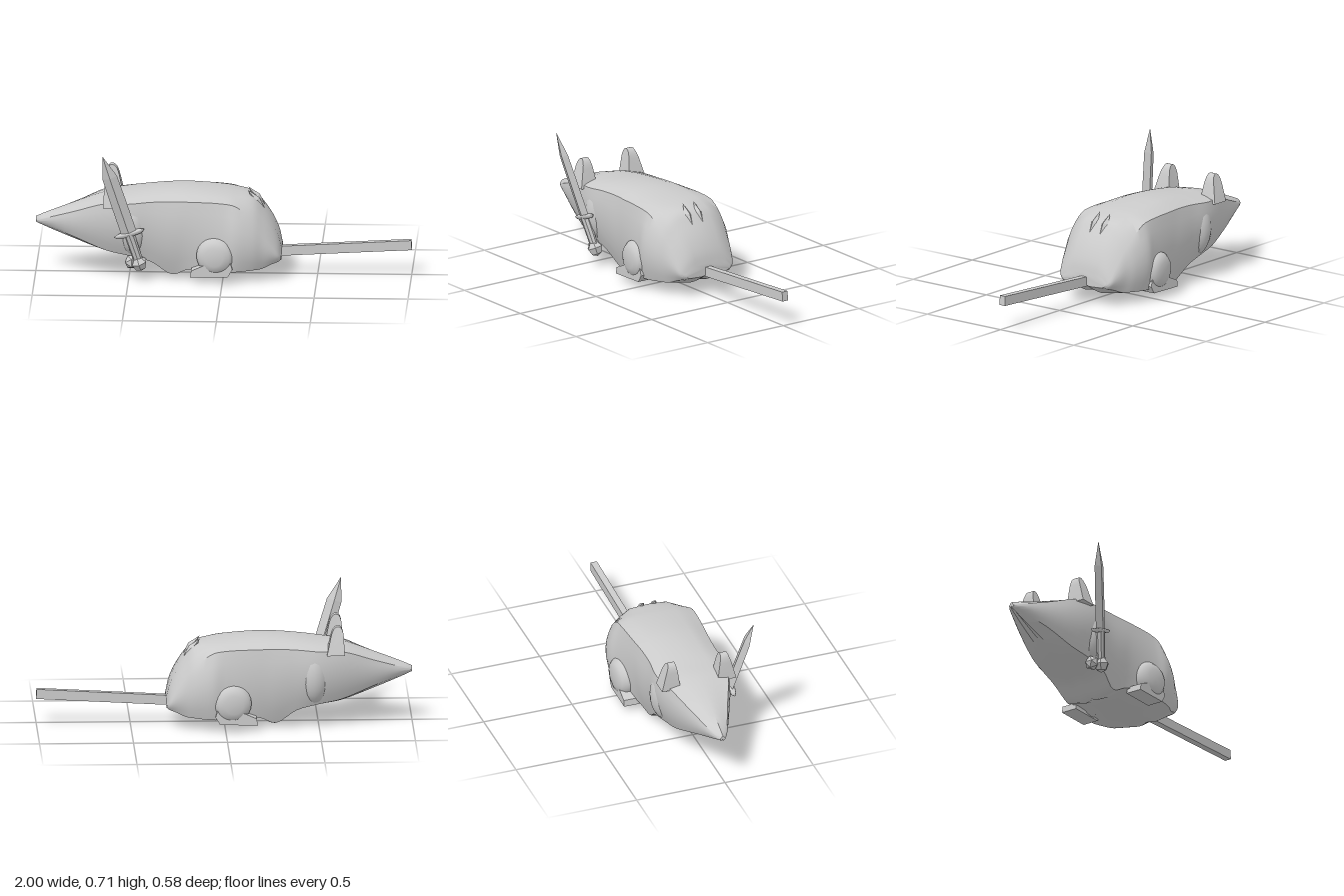
import * as THREE from 'three';
import { toCreasedNormals } from 'three/addons/utils/BufferGeometryUtils.js';

const CZ = -0.012; // mid plane of the animal
const material = new THREE.MeshStandardMaterial({ color: 0xcccccc, side: THREE.DoubleSide });
const flat = new THREE.MeshStandardMaterial({ color: 0xcccccc, flatShading: true, side: THREE.DoubleSide });

function add(parent, name, geometry, mat = material) {
  const mesh = new THREE.Mesh(geometry, mat);
  mesh.name = name;
  parent.add(mesh);
  return mesh;
}

// Skin closed rings (all the same length) and cap both ends
function loft(rings, crease) {
  const n = rings[0].length, index = [];
  const pos = rings.flat().flatMap((p) => [p.x, p.y, p.z]);
  for (let i = 0; i < rings.length - 1; i++) {
    for (let j = 0; j < n; j++) {
      const a = i * n + j, c = i * n + (j + 1) % n;
      index.push(a, c, a + n, a + n, c, c + n);
    }
  }
  const last = (rings.length - 1) * n;
  for (let j = 1; j < n - 1; j++) {
    index.push(0, j + 1, j, last, last + j, last + j + 1);
  }
  const g = new THREE.BufferGeometry();
  g.setAttribute('position', new THREE.Float32BufferAttribute(pos, 3));
  g.setIndex(index);
  return toCreasedNormals(g, crease);
}

// x, belly y, back y, shoulder-crease y, half widths: crease, flank, base
const SECTIONS = [
  [-1.0, 0.268, 0.298, 0.285, 0.01, 0.014, 0.01],
  [-0.96, 0.25, 0.316, 0.295, 0.035, 0.038, 0.025],
  [-0.8, 0.187, 0.378, 0.35, 0.1, 0.108, 0.085],
  [-0.62, 0.122, 0.44, 0.415, 0.17, 0.177, 0.13],
  [-0.5, 0.1, 0.452, 0.42, 0.195, 0.2, 0.15],
  [-0.38, 0.07, 0.468, 0.43, 0.188, 0.2, 0.16],
  [-0.27, 0.0, 0.477, 0.435, 0.19, 0.205, 0.15],
  [-0.18, 0.036, 0.478, 0.435, 0.197, 0.212, 0.18],
  [0.0, 0.036, 0.463, 0.43, 0.208, 0.24, 0.225],
  [0.07, 0.036, 0.452, 0.415, 0.208, 0.258, 0.23],
  [0.16, 0.042, 0.43, 0.345, 0.202, 0.24, 0.21],
  [0.21, 0.045, 0.378, 0.285, 0.19, 0.215, 0.185],
  [0.26, 0.065, 0.305, 0.21, 0.178, 0.193, 0.168],
  [0.295, 0.088, 0.225, 0.15, 0.165, 0.17, 0.15],
  [0.31, 0.1, 0.15, 0.125, 0.14, 0.14, 0.12],
];

// Half ring from spine to belly; the flank is a smooth bow between two creases
function halfRing([x, yb, yt, ys, ws, wm, wb]) {
  const base = yb + Math.min(0.025, (ys - yb) * 0.2);
  const roof = x < -0.55 ? [0.4, 0.7] : [0.08, 0.45]; // ridged head, flat back
  const ring = [[0, yt], [ws * 0.5, yt - (yt - ys) * roof[0]], [ws * 0.75, yt - (yt - ys) * roof[1]]];
  for (let k = 0; k <= 6; k++) {
    const t = k / 6, bow = 4 * t * (1 - t);
    ring.push([ws + (wb - ws) * t + (wm - (ws + wb) / 2) * bow, ys + (base - ys) * t]);
  }
  ring.push([wb * 0.3, yb], [0, yb + 0.01]);
  return ring.map(([z, y]) => new THREE.Vector3(x, y, z));
}

function bodyGeometry() {
  const halves = SECTIONS.map(halfRing);
  const steps = (SECTIONS.length - 1) * 4;
  const rails = halves[0].map((_, j) =>
    new THREE.CatmullRomCurve3(halves.map((h) => h[j]), false, 'centripetal'));
  const rings = [];
  for (let i = 0; i <= steps; i++) {
    const half = rails.map((rail) => rail.getPoint(i / steps));
    const mirror = half.slice(1, -1).reverse().map((p) => new THREE.Vector3(p.x, p.y, -p.z));
    rings.push([...half, ...mirror]);
  }
  return loft(rings, 0.6);
}

// Rounded tab, thinner and drawn inward toward the tip
function earGeometry() {
  const s = new THREE.Shape();
  s.moveTo(-0.635, 0.4);
  s.lineTo(-0.63, 0.5);
  s.quadraticCurveTo(-0.625, 0.551, -0.6, 0.551);
  s.quadraticCurveTo(-0.575, 0.551, -0.562, 0.5);
  s.lineTo(-0.54, 0.4);
  const g = new THREE.ExtrudeGeometry(s, { depth: 1, bevelEnabled: false, curveSegments: 5 });
  const p = g.attributes.position;
  for (let i = 0; i < p.count; i++) {
    const t = Math.max(0, (p.getY(i) - 0.42) / 0.13);
    const inner = 0.105 + 0.023 * t, outer = 0.21 - 0.042 * t;
    p.setZ(i, inner + (outer - inner) * p.getZ(i));
  }
  return toCreasedNormals(g, 0.6);
}

// Thick disc with a domed outer face, leaning outward to the rear
function thighGeometry() {
  const profile = [[0, 0.078], [0.05, 0.076], [0.08, 0.066], [0.098, 0.045], [0.104, 0.01], [0.104, -0.06]];
  const g = new THREE.LatheGeometry(profile.map(([r, h]) => new THREE.Vector2(r, h)), 24);
  g.rotateX(Math.PI / 2).rotateY(-0.12);
  g.translate(-0.035, 0.148, 0.192);
  return toCreasedNormals(g, 0.6);
}

function sideParts(side) {
  const g = new THREE.Group();
  g.name = side > 0 ? 'leftSide' : 'rightSide';
  add(g, 'ear', earGeometry());
  add(g, 'thigh', thighGeometry());
  // Hind foot
  const foot = new THREE.Shape([[-0.17, 0.036], [0.03, 0.04], [0.055, 0.08], [0.04, 0.13], [-0.1, 0.1], [-0.165, 0.072]]
    .map(([x, y]) => new THREE.Vector2(x, y)));
  add(g, 'hindFoot', new THREE.ExtrudeGeometry(foot, { depth: 0.09, bevelEnabled: false })
    .translate(0, 0, 0.165), flat);
  // Shoulder of the foreleg
  add(g, 'shoulder', new THREE.SphereGeometry(1, 20, 14).scale(0.085, 0.16, 0.1).translate(-0.475, 0.28, 0.118));
  // Small tuft on the rump
  const tuft = add(g, 'rumpTuft', new THREE.OctahedronGeometry(1).scale(0.07, 0.02, 0.022), flat);
  tuft.position.set(0.175, 0.41, 0.035);
  tuft.rotation.z = -0.85;
  g.scale.z = side;
  return g;
}

function sword() {
  const g = new THREE.Group();
  g.name = 'sword';
  const lathe = (pts, sides) => new THREE.LatheGeometry(pts.map(([r, y]) => new THREE.Vector2(r, y)), sides);
  // Local origin is the guard, blade along +y
  add(g, 'blade', lathe([[0, 0], [0.042, 0], [0.042, 0.2], [0.04, 0.345], [0, 0.477]], 4).scale(1, 1, 0.4), flat);
  add(g, 'guard', lathe([[0, -0.012], [0.07, -0.01], [0.086, 0.004], [0.07, 0.01], [0, 0.012]], 16).scale(1, 1, 0.25));
  add(g, 'grip', new THREE.CylinderGeometry(0.028, 0.025, 0.17, 8).scale(1, 1, 0.8).translate(0, -0.085, 0), flat);
  add(g, 'pommel', lathe([[0, -0.225], [0.03, -0.21], [0.044, -0.175], [0.02, -0.145], [0, -0.145]], 6), flat);
  g.position.set(-0.495, 0.265, 0.212);
  g.quaternion.setFromUnitVectors(new THREE.Vector3(0, 1, 0), new THREE.Vector3(-0.14, 0.45, 0.085).normalize());
  return g;
}

export function createModel() {
  const model = new THREE.Group();
  model.name = 'rodentWithSword';
  const animal = new THREE.Group();
  animal.name = 'rodent';
  animal.position.z = CZ;
  model.add(animal);
  add(animal, 'body', bodyGeometry());
  for (const side of [1, -1]) animal.add(sideParts(side));

  // Straight square tail
  const tail = add(animal, 'tail', new THREE.BoxGeometry(0.72, 0.052, 0.036), flat);
  tail.position.set(0.64, 0.142, 0);
  tail.rotation.z = 0.055;

  // Forepaw holding the sword
  const paw = add(model, 'forepaw', new THREE.IcosahedronGeometry(0.04, 0), flat);
  paw.position.set(-0.485, 0.095, 0.15);

  model.add(sword());
  return model;
}
